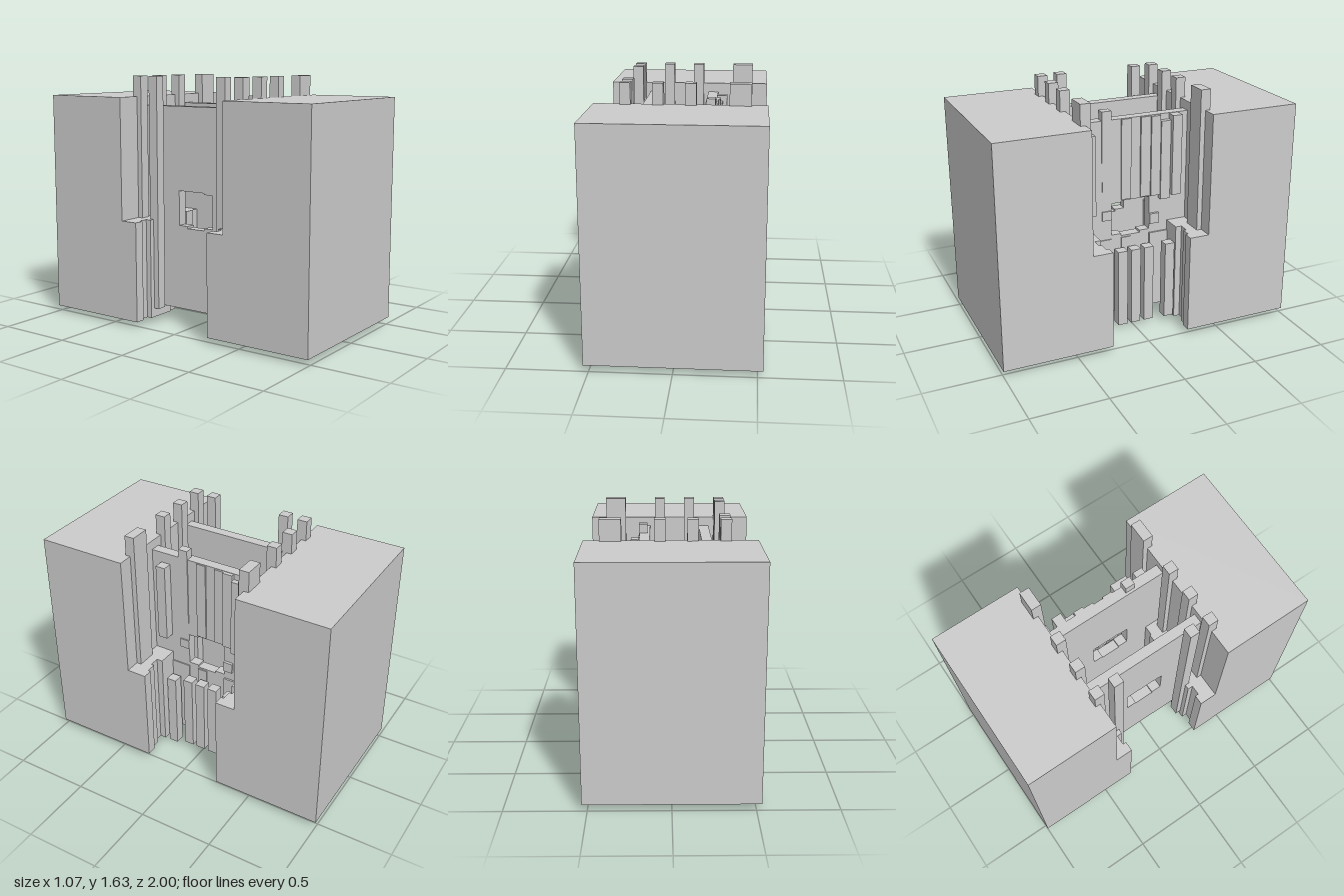
import * as THREE from 'three';

const material = new THREE.MeshStandardMaterial({ color: 0xcccccc, flatShading: true });

export function createModel() {
  const model = new THREE.Group();
  model.name = 'gatehouse';

  // Box given by its extents along each axis
  const box = (name, x0, x1, y0, y1, z0, z1) => {
    const mesh = new THREE.Mesh(new THREE.BoxGeometry(x1 - x0, y1 - y0, z1 - z0), material);
    mesh.position.set((x0 + x1) / 2, (y0 + y1) / 2, (z0 + z1) / 2);
    mesh.name = name;
    model.add(mesh);
  };
  // Front box and its copy at the back
  const pair = (name, x0, x1, y0, y1, z0, z1) => {
    box(name + 'Front', x0, x1, y0, y1, z0, z1);
    box(name + 'Back', x0, x1, y0, y1, -z1, -z0);
  };

  // Two massive end blocks
  pair('block', -0.533, 0.533, 0.04, 1.5, 0.4, 1);

  // Lower ledges with uneven inner faces: x start, x end, inner z
  const ledges = [
    [-0.533, -0.467, 0.283], [-0.467, -0.4, 0.307], [-0.4, -0.2, 0.272],
    [-0.2, -0.133, 0.285], [-0.133, -0.067, 0.31], [-0.067, 0, 0.327],
    [0, 0.067, 0.283], [0.067, 0.133, 0.293], [0.133, 0.333, 0.267],
    [0.333, 0.4, 0.308], [0.4, 0.467, 0.287], [0.467, 0.533, 0.268],
  ];
  for (const [x0, x1, z] of ledges) pair('ledge', x0, x1, 0.04, 0.7, z, 0.4);

  // Pilasters on the inner faces, rising above the blocks
  for (const [x0, x1] of [[-0.367, -0.3], [-0.167, -0.1], [0.033, 0.1], [0.3, 0.433]]) {
    pair('pilaster', x0, x1, 0.7, 1.633, 0.367, 0.433);
  }

  // Tall free posts beside the right wall
  pair('tallPost', -0.367, -0.3, 0.1, 1.633, 0.235, 0.3);

  // Two connecting walls, each with a stepped opening
  const wallShape = new THREE.Shape([
    [-0.4, 0.1], [0.4, 0.1], [0.4, 1.44], [-0.4, 1.44],
  ].map(p => new THREE.Vector2(...p)));
  wallShape.holes.push(new THREE.Path([
    [-0.135, 0.66], [-0.135, 0.89], [0, 0.89], [0, 0.9], [0, 0.89], [0.067, 0.89],
    [0.067, 0.88], [0.135, 0.88], [0.135, 0.66], [0.067, 0.66], [0.067, 0.645],
    [-0.067, 0.645], [-0.067, 0.66],
  ].filter(p => p[1] !== 0.9).map(p => new THREE.Vector2(...p))));
  const wallGeometry = new THREE.ExtrudeGeometry(wallShape, { depth: 0.067, bevelEnabled: false });
  wallGeometry.rotateY(-Math.PI / 2);
  for (const [name, x] of [['leftWall', 0.2], ['rightWall', -0.2]]) {
    const wall = new THREE.Mesh(wallGeometry, material);
    wall.position.x = x;
    wall.name = name;
    model.add(wall);
  }

  // Shallow panels on the left wall: z start, z end, y start, y end, outer x
  const panels = [
    [-0.333, -0.267, 0.9, 1.437, 0.265], [-0.267, -0.2, 0.87, 1.4, 0.235],
    [-0.2, -0.135, 0.9, 1.437, 0.225], [-0.135, -0.067, 0.9, 1.437, 0.213],
    [0, 0.067, 0.9, 1.437, 0.21], [0.135, 0.2, 0.97, 1.5, 0.206],
    [0.267, 0.333, 0.84, 1.37, 0.265],
    [0.135, 0.27, 0.1, 0.633, 0.207], [0, 0.067, 0.1, 0.633, 0.207],
    [-0.27, -0.135, 0.1, 0.633, 0.212],
    [0.135, 0.2, 0.77, 0.833, 0.208], [-0.2, -0.135, 0.7, 0.77, 0.218],
  ];
  for (const [z0, z1, y0, y1, x] of panels) box('wallPanel', 0.15, x, y0, y1, z0, z1);

  // Short free posts outside the left wall: x, z, bottom
  const posts = [
    [0.257, 0.228, 0], [0.263, 0.093, 0.04], [0.263, 0, 0.04],
    [0.263, -0.093, 0.04], [0.297, -0.228, 0.055],
  ];
  for (const [x, z, y] of posts) {
    box('shortPost', x - 0.033, x + 0.033, y, y + 0.533, z - 0.033, z + 0.033);
  }

  return model;
}
